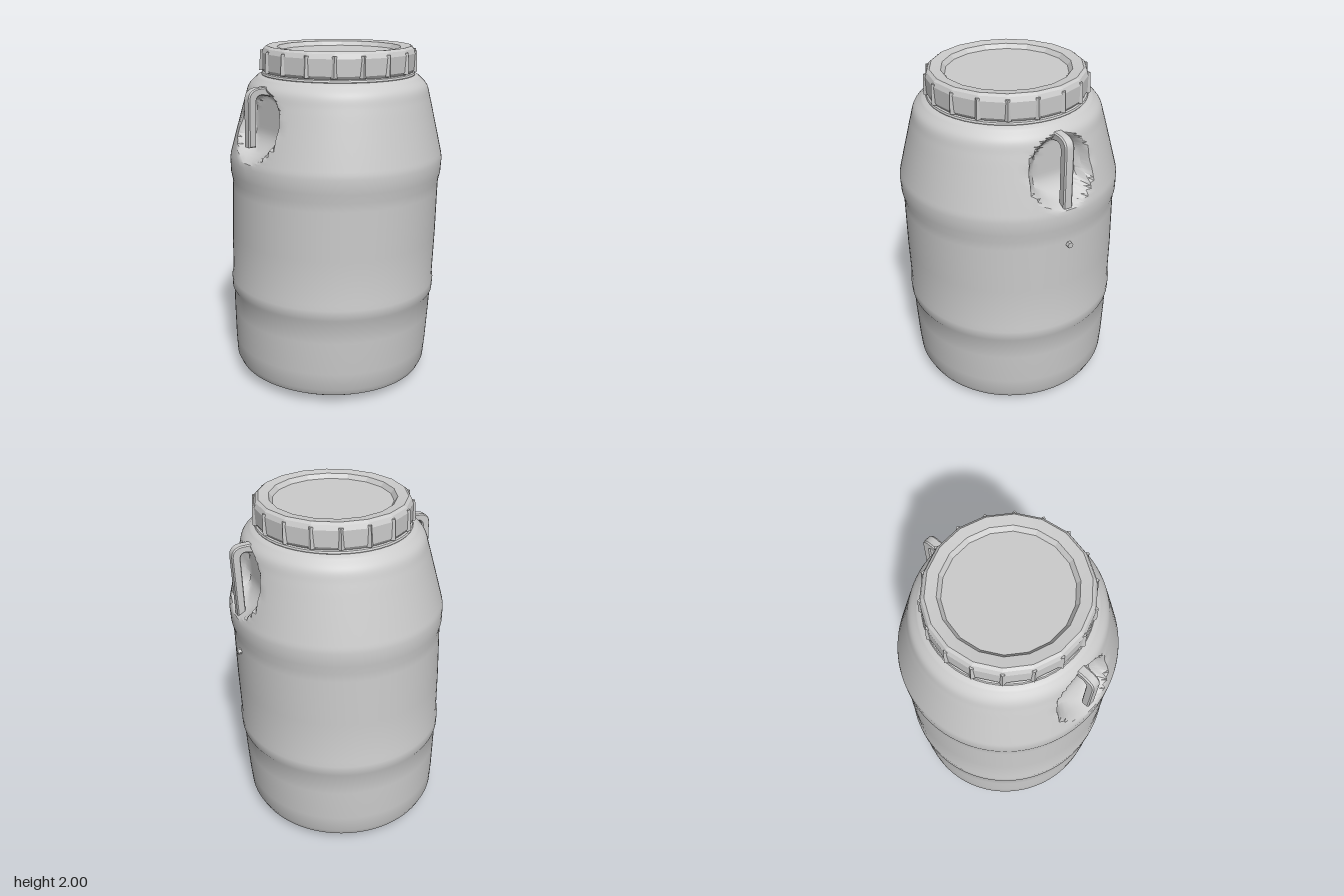
import * as THREE from 'three';
import { toCreasedNormals } from 'three/addons/utils/BufferGeometryUtils.js';

const grey = () => new THREE.MeshStandardMaterial({ color: 0xcccccc, side: THREE.DoubleSide });

// Move every vertex of a geometry by a rule
function deform(geo, rule) {
  const p = geo.attributes.position, v = new THREE.Vector3();
  for (let i = 0; i < p.count; i++) {
    v.fromBufferAttribute(p, i);
    rule(v);
    p.setXYZ(i, v.x, v.y, v.z);
  }
  return geo;
}

// The whole vessel leans slightly and is a touch narrower in x
function lean(v) {
  const y = v.y;
  v.y -= 0.02 * v.x * Math.max(0, 1 - y);
  v.x = v.x * 0.98 - 0.03 + 0.017 * y;
  v.z += -0.02 + 0.025 * y;
}

// Hollow pressed into each side of the shoulder behind the handle
function gripHollow(v) {
  const e = (v.z / 0.195) ** 2 + ((v.y - 1.585) / 0.205) ** 2;
  if (e >= 1 || Math.abs(v.x) < 0.3) return;
  const floor = 0.475 + 0.14 * Math.max(0, (1.55 - v.y) / 0.17) ** 2;
  const ax = Math.abs(v.x);
  v.x = Math.sign(v.x) * THREE.MathUtils.lerp(ax, Math.min(ax, floor), Math.min(1, (1 - e) * 2.5));
}

const profile = (pts) => pts.map(([r, y]) => new THREE.Vector2(r, y));

function add(group, name, geo, crease = 0.5) {
  const mesh = new THREE.Mesh(toCreasedNormals(deform(geo, lean), crease), grey());
  mesh.name = name;
  group.add(mesh);
  return mesh;
}

export function createModel() {
  const model = new THREE.Group();
  model.name = 'barrel';

  // Body: recessed base, rounded heel, two raised hoops and a sloping shoulder
  const lower = [
    [0, 0.035], [0.3, 0.035], [0.315, 0.022], [0.4, 0.022], [0.41, 0.013], [0.48, 0.02],
    [0.55, 0.033], [0.585, 0.055], [0.603, 0.095], [0.61, 0.2], [0.617, 0.4], [0.62, 0.53],
    [0.63, 0.55], [0.632, 0.61], [0.625, 0.64], [0.626, 0.9], [0.622, 1.18],
    [0.622, 1.23], [0.632, 1.28], [0.634, 1.36],
  ];
  const shoulder = new THREE.CatmullRomCurve3([
    [0.63, 1.385], [0.605, 1.48], [0.573, 1.6], [0.543, 1.71], [0.52, 1.78], [0.47, 1.83],
  ].map(([r, y]) => new THREE.Vector3(r, y, 0))).getPoints(30).map((p) => [p.x, p.y]);
  const neck = [[0.435, 1.84], [0.42, 1.86], [0.42, 1.93]];
  const body = new THREE.LatheGeometry(profile([...lower, ...shoulder, ...neck]), 112);
  add(model, 'body', deform(body, gripHollow), 0.55);

  // Screw lid: faceted skirt, flat rim and sunken centre panel
  const sides = 18;
  const lid = new THREE.LatheGeometry(profile([
    [0.40, 1.85], [0.435, 1.85], [0.448, 1.87], [0.448, 1.96], [0.436, 1.985], [0.42, 1.997],
    [0.36, 1.99], [0.34, 1.965], [0, 1.965],
  ]), sides);
  add(model, 'lid', lid, 0.2);

  // Grip ribs at the corners of the lid skirt
  for (let i = 0; i < sides; i++) {
    const rib = new THREE.CylinderGeometry(0.012, 0.018, 0.115, 4, 1);
    rib.translate(0, 1.917, 0.443).rotateY((i / sides) * Math.PI * 2);
    add(model, 'lidRib', rib, 0.2);
  }

  // Collar under the lid
  add(model, 'neckCollar', new THREE.TorusGeometry(0.435, 0.014, 8, 48)
    .rotateX(Math.PI / 2).translate(0, 1.84, 0));

  // Hook-shaped side handles; the right one stops short of the body
  for (const [name, side, low] of [['leftHandle', 1, 1.37], ['rightHandle', -1, 1.475]]) {
    const s = new THREE.Shape();
    s.moveTo(0.45, 1.8);
    s.lineTo(0.56, 1.797);
    s.quadraticCurveTo(0.618, 1.79, 0.621, 1.74);
    s.lineTo(0.62, low);
    s.lineTo(0.572, low);
    s.lineTo(0.572, 1.72);
    s.quadraticCurveTo(0.572, 1.755, 0.54, 1.757);
    s.lineTo(0.45, 1.74);
    s.closePath();
    const geo = new THREE.ExtrudeGeometry(s, {
      depth: 0.04, bevelEnabled: true, bevelThickness: 0.008, bevelSize: 0.006,
      bevelOffset: -0.006, bevelSegments: 1, curveSegments: 5,
    });
    geo.translate(0, 0, -0.02);
    if (side < 0) geo.rotateY(Math.PI);
    add(model, name, geo, 0.4);
  }

  // Small moulded nubs on the left wall and under the base
  add(model, 'sideNub', new THREE.CylinderGeometry(0.018, 0.018, 0.05, 6)
    .rotateZ(Math.PI / 2).translate(0.618, 1.16, -0.01), 0.3);
  add(model, 'baseNub', new THREE.CylinderGeometry(0.015, 0.01, 0.035, 6)
    .translate(0.05, 0.02, 0.02), 0.3);

  return model;
}
